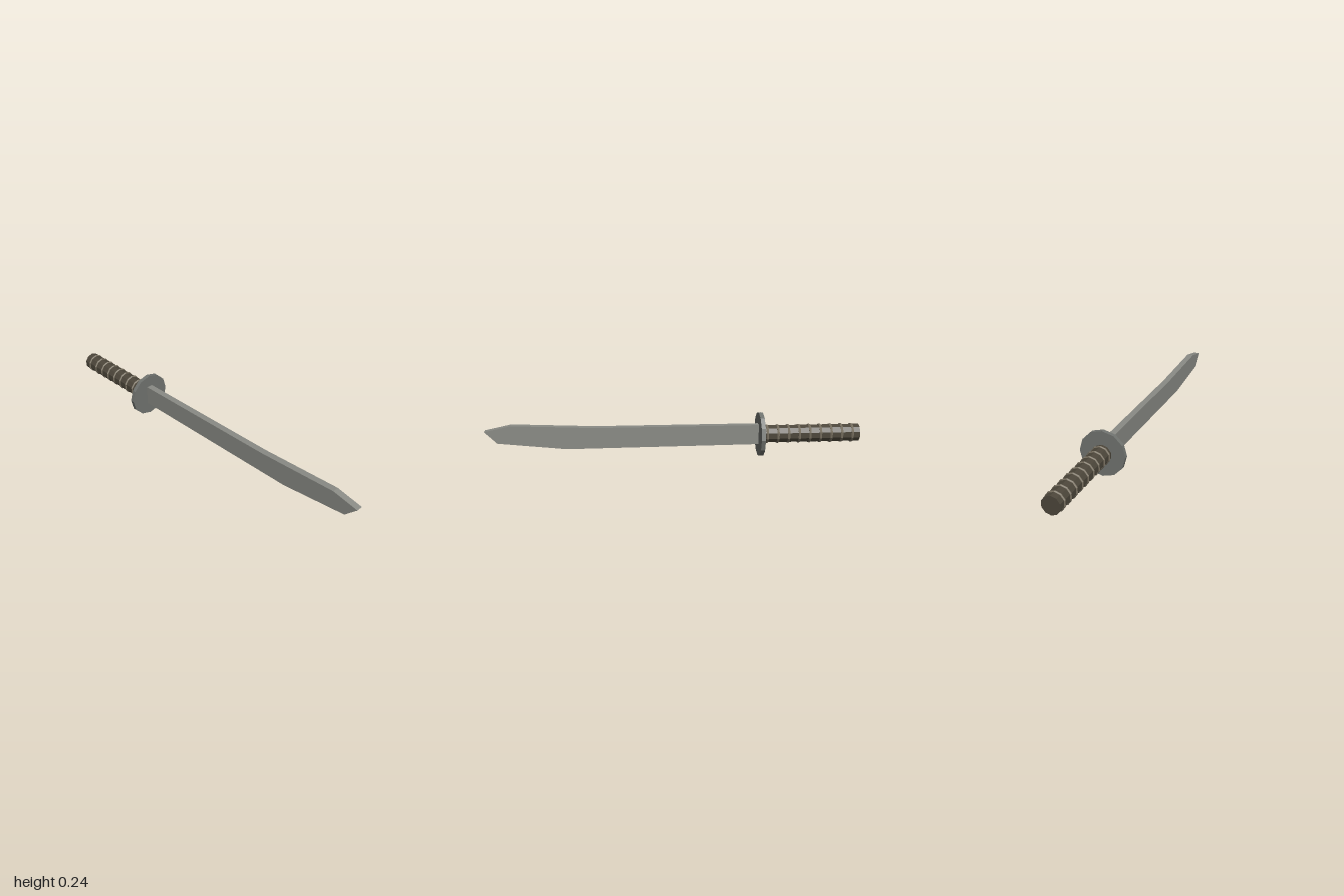
import * as THREE from 'three';

const AXIS_Y = 0.122;
const material = (color) => new THREE.MeshStandardMaterial({ color, flatShading: true });

function addMesh(group, name, geometry, mat) {
  const mesh = new THREE.Mesh(geometry, mat);
  mesh.name = name;
  group.add(mesh);
  return mesh;
}

// Cylinder lying along z between two depths
function rod(radius, zFront, zBack, sides) {
  return new THREE.CylinderGeometry(radius, radius, zFront - zBack, sides)
    .rotateX(Math.PI / 2)
    .translate(0, AXIS_Y, (zFront + zBack) / 2);
}

export function createModel() {
  const group = new THREE.Group();
  group.name = 'sword';

  // Blade: side profile (z, y) extruded across x
  const thickness = 0.035;
  const profile = [
    [-0.46, 0.07], [-0.46, 0.177], [0.42, 0.177], [0.86, 0.195],
    [1, 0.165], [0.935, 0.1], [0.57, 0.062],
  ].map(([z, y]) => new THREE.Vector2(-z, y));
  const blade = new THREE.ExtrudeGeometry(new THREE.Shape(profile), {
    depth: thickness, bevelEnabled: false,
  });
  blade.translate(0, 0, -thickness / 2).rotateY(Math.PI / 2);
  addMesh(group, 'blade', blade, material(0x8a8b85));

  // Twelve-sided guard disc
  addMesh(group, 'guard', rod(0.12, -0.455, -0.477, 12), material(0x70736f));

  // Grip with evenly spaced binding rings
  addMesh(group, 'grip', rod(0.048, -0.477, -1, 10), material(0x4c463a));
  const ringMaterial = material(0x787060);
  const ringGeometry = new THREE.TorusGeometry(0.046, 0.007, 6, 10).rotateZ(Math.PI / 2);
  for (let i = 0; i < 9; i++) {
    const ring = addMesh(group, 'gripRing', ringGeometry, ringMaterial);
    ring.position.set(0, AXIS_Y, -0.5 - i * 0.0575);
  }

  return group;
}
